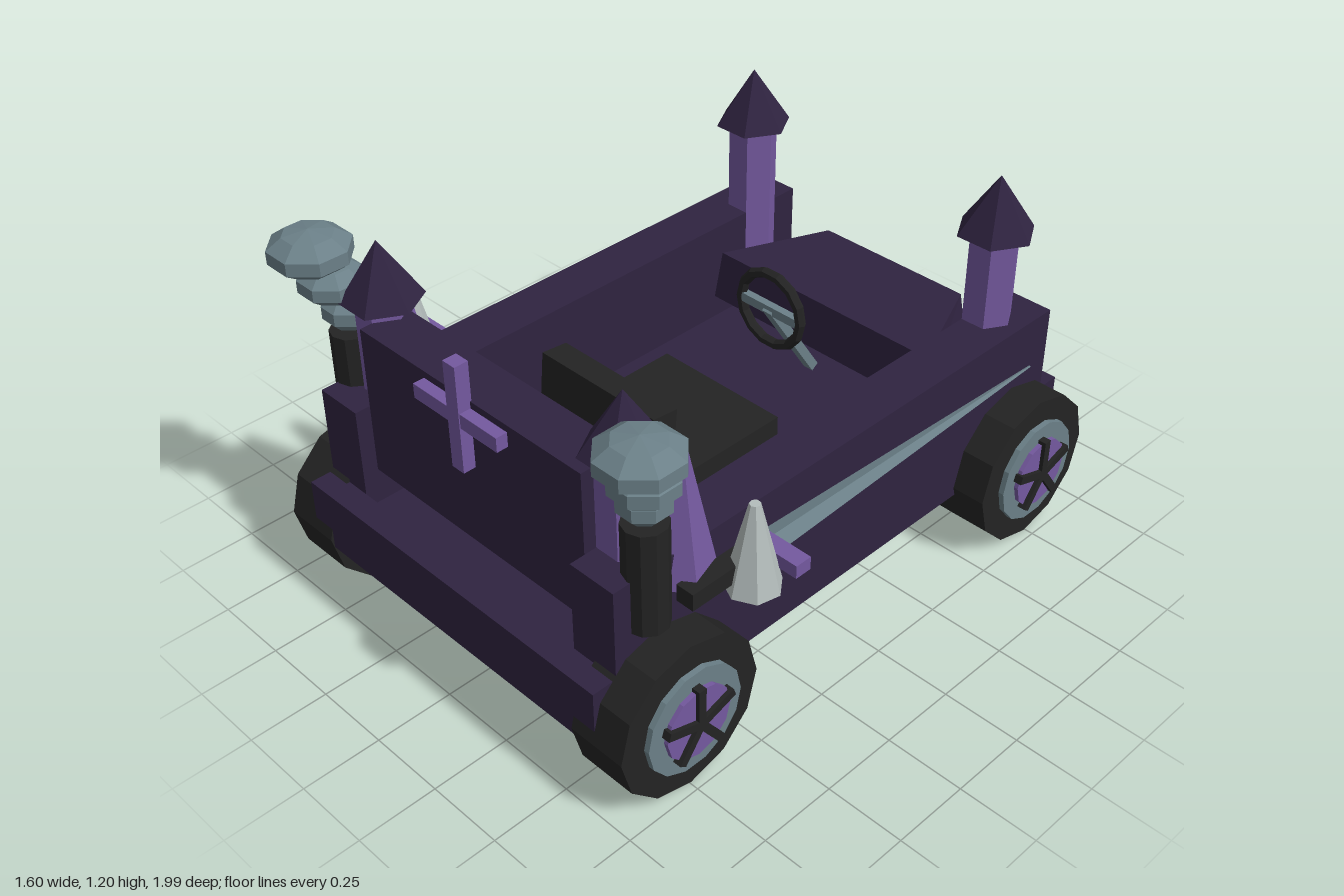
import * as THREE from 'three';

const mat = (name, color) => {
  const m = new THREE.MeshStandardMaterial({ color, flatShading: true });
  m.name = name;
  return m;
};

export function createModel() {
  const root = new THREE.Group();
  root.name = 'castleKart';
  const body = mat('darkPlum', 0x2f2340);
  const purple = mat('violet', 0x74599f);
  const steel = mat('slateGrey', 0x6b8088);
  const bone = mat('paleGrey', 0xb4bdbc);
  const black = mat('charcoal', 0x232323);

  const add = (name, geo, material, x = 0, y = 0, z = 0, parent = root) => {
    const m = new THREE.Mesh(geo, material);
    m.name = name;
    m.position.set(x, y, z);
    parent.add(m);
    return m;
  };
  // box given by its limits
  const box = (name, material, x0, x1, y0, y1, z0, z1, parent = root) =>
    add(name, new THREE.BoxGeometry(x1 - x0, y1 - y0, z1 - z0), material,
      (x0 + x1) / 2, (y0 + y1) / 2, (z0 + z1) / 2, parent);
  // upright cylinder or cone between two heights
  const post = (name, material, rTop, rBottom, y0, y1, sides, x, z, parent = root) =>
    add(name, new THREE.CylinderGeometry(rTop, rBottom, y1 - y0, sides), material, x, (y0 + y1) / 2, z, parent);

  // chassis, bumpers and tall end panel
  box('floor', body, -0.61, 0.61, 0.22, 0.37, -0.905, 0.905);
  box('frontBumper', body, -0.61, 0.61, 0.22, 0.42, 0.905, 0.985);
  box('rearBumper', body, -0.61, 0.61, 0.22, 0.42, -0.985, -0.905);
  box('endPanel', body, -0.45, 0.45, 0.485, 0.97, 0.70, 0.855);

  // cross on the end panel
  box('crossUpright', purple, -0.024, 0.024, 0.755, 1.095, 0.85, 0.895);
  box('crossArm', purple, -0.17, 0.17, 0.902, 0.948, 0.852, 0.892);

  // hood: tapered block, narrow toward -z
  const hood = new THREE.BoxGeometry(1, 1, 1);
  const p = hood.attributes.position;
  for (let i = 0; i < p.count; i++) {
    const far = p.getZ(i) < 0, top = p.getY(i) > 0;
    const half = (far ? 0.3 : 0.449) - (top ? 0.02 : 0);
    p.setXYZ(i, Math.sign(p.getX(i)) * half, top ? 0.62 : 0.45,
      far ? (top ? -0.9 : -0.92) : (top ? -0.545 : -0.53));
  }
  hood.computeVertexNormals();
  add('hood', hood, body);

  // seat
  box('seatBase', black, -0.235, 0.235, 0.45, 0.53, -0.1, 0.4);
  const back = box('seatBack', black, -0.23, 0.23, 0.47, 0.775, 0.325, 0.415);
  back.rotation.x = -0.1;

  // steering wheel with spoke bar and slanted column
  add('steeringWheel', new THREE.TorusGeometry(0.122, 0.017, 6, 14), black, 0, 0.705, -0.315);
  box('steeringSpoke', steel, -0.115, 0.115, 0.69, 0.72, -0.328, -0.302);
  const column = add('steeringColumn', new THREE.BoxGeometry(0.036, 0.37, 0.03), steel, 0, 0.555, -0.41);
  column.rotation.x = Math.atan2(0.2, 0.3);

  for (const s of [1, -1]) {
    const side = new THREE.Group();
    side.name = s > 0 ? 'leftSide' : 'rightSide';
    root.add(side);

    const wall = box('sideWall', body, 0.45, 0.61, 0.37, 0.71, -0.905, 0.905, side);
    wall.position.x *= s;

    for (const z of [0.745, -0.745]) {
      // corner turret
      const shaft = post('turret', purple, 0.08, 0.08, 0.5, 1.01, 6, s * 0.49, z, side);
      const roof = post('turretRoof', body, 0, 0.122, 1.005, 1.19, 6, s * 0.49, z, side);
      shaft.rotation.y = roof.rotation.y = Math.PI / 6;

      // wheel: tyre, rim, hub disc and five spokes, built along +x
      const wheel = new THREE.Group();
      wheel.name = 'wheel';
      wheel.position.set(0, 0.25, z);
      if (s < 0) wheel.rotation.y = Math.PI;
      side.add(wheel);
      const disc = (name, material, r, x0, x1, n) => {
        const d = add(name, new THREE.CylinderGeometry(r, r, x1 - x0, n), material, (x0 + x1) / 2, 0, 0, wheel);
        d.rotation.z = -Math.PI / 2;
      };
      disc('tyre', black, 0.25, 0.53, 0.72, 12);
      disc('rim', steel, 0.17, 0.7, 0.738, 14);
      disc('hubDisc', purple, 0.116, 0.72, 0.752, 12);
      for (let i = 0; i < 5; i++) {
        const a = i * Math.PI * 2 / 5;
        const spoke = add('spoke', new THREE.BoxGeometry(0.03, 0.125, 0.026), black,
          0.75, Math.cos(a) * 0.0625, Math.sin(a) * 0.0625, wheel);
        spoke.rotation.x = a;
      }
    }

    // exhaust stack with three growing smoke puffs
    post('exhaustPipe', black, 0.065, 0.065, 0.54, 0.87, 10, s * 0.602, 0.785, side);
    for (const [x, y, z, r, h] of [[0.602, 0.94, 0.785, 0.082, 0.062],
      [0.63, 1.03, 0.81, 0.104, 0.062], [0.658, 1.132, 0.848, 0.128, 0.066]]) {
      const puff = add('smokePuff', new THREE.SphereGeometry(1, 8, 5), steel, s * x, y, z, side);
      puff.scale.set(r, h, r);
      puff.rotation.y = Math.PI / 8;
    }

    // violet and pale spikes
    post('violetSpike', purple, 0.014, 0.102, 0.6, 1.035, 5, s * 0.575, 0.64, side);
    post('paleSpike', bone, 0.016, 0.082, 0.547, 0.82, 7, s * 0.705, 0.5, side);

    // sword lying along the side: grip, guard, flat tapering blade
    box('swordGrip', black, -0.03, 0.03, 0.58, 0.635, 0.43, 0.71, side).position.x = s * 0.663;
    box('swordGuard', purple, -0.13, 0.13, 0.588, 0.63, 0.385, 0.44, side).position.x = s * 0.67;
    const blade = add('swordBlade', new THREE.CylinderGeometry(0.004, 0.046, 1.13, 4), steel,
      s * 0.665, 0.608, -0.18, side);
    blade.rotation.x = -Math.PI / 2;
    blade.scale.z = 0.32;
  }
  return root;
}
